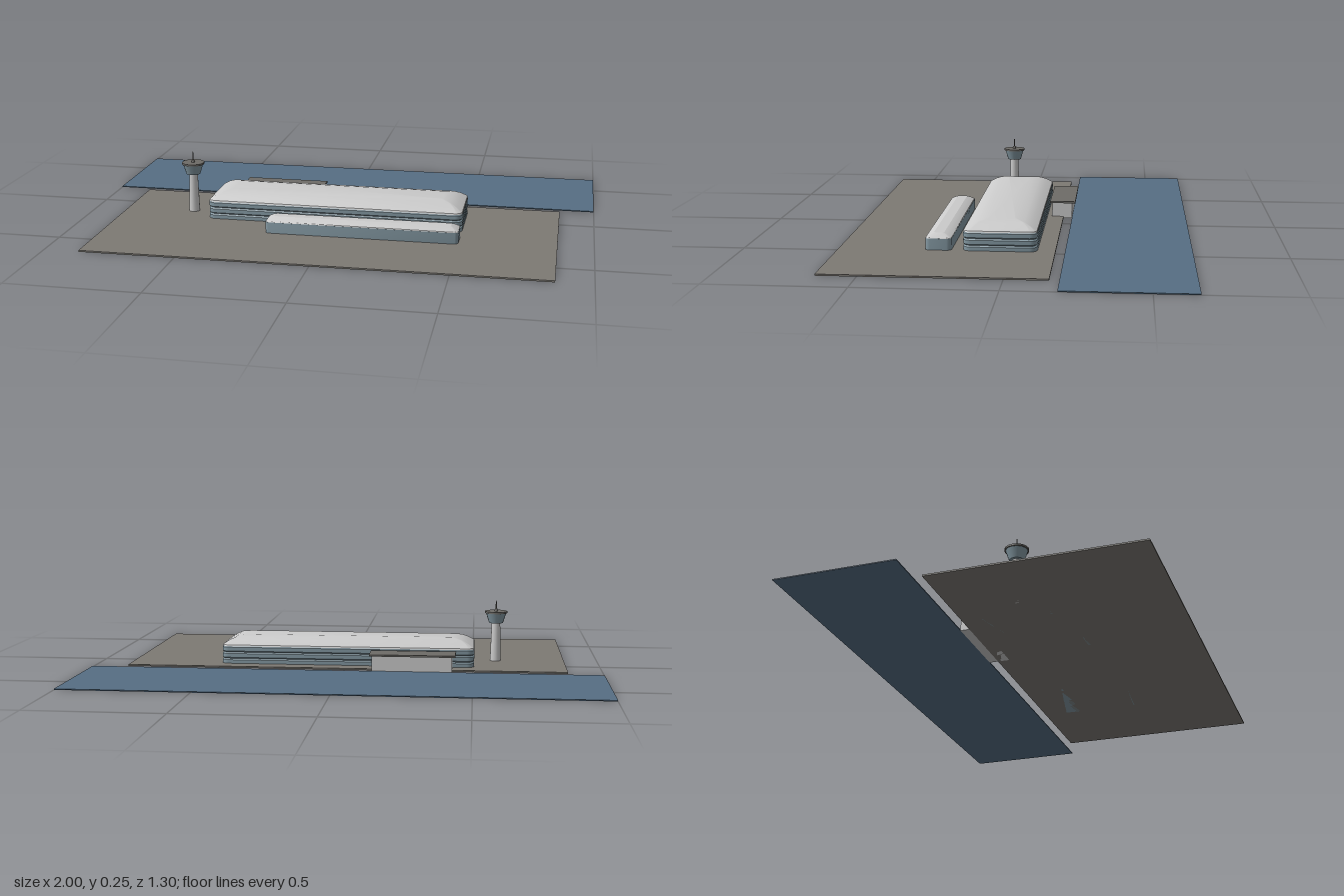
import * as THREE from 'three';
import { toCreasedNormals } from 'three/addons/utils/BufferGeometryUtils.js';

const paint = (color) => new THREE.MeshStandardMaterial({ color });
const grey = paint(0xcccccc);
const glass = paint(0x8499a3);
const paving = paint(0x7d7a74);
const water = paint(0x566e84);
const dark = paint(0x6e6c68);

function add(parent, name, geometry, material, x = 0, y = 0, z = 0) {
  const mesh = new THREE.Mesh(geometry, material);
  mesh.name = name;
  mesh.position.set(x, y, z);
  parent.add(mesh);
  return mesh;
}

// Box given by its extents
function slab(parent, name, material, [x0, x1], [y0, y1], [z0, z1]) {
  return add(parent, name, new THREE.BoxGeometry(x1 - x0, y1 - y0, z1 - z0), material,
    (x0 + x1) / 2, (y0 + y1) / 2, (z0 + z1) / 2);
}

// Stack of rounded rectangles; each level is [inset, y]
function loftRounded(width, depth, radius, levels, crease) {
  const steps = 5, count = 4 * (steps + 1);
  const positions = [], index = [];
  for (const [inset, y] of levels) {
    const r = Math.max(radius - inset * 0.5, 0.008);
    const w = width / 2 - inset - r, d = depth / 2 - inset - r;
    for (let q = 0; q < 4; q++) {
      const sx = q === 0 || q === 3 ? 1 : -1, sz = q < 2 ? -1 : 1;
      for (let s = 0; s <= steps; s++) {
        const a = (q + s / steps) * Math.PI / 2;
        positions.push(sx * w + r * Math.cos(a), y, sz * d - r * Math.sin(a));
      }
    }
  }
  const last = levels.length - 1, base = levels.length * count;
  positions.push(0, levels[0][1], 0, 0, levels[last][1], 0);
  for (let j = 0; j < count; j++) {
    const k = (j + 1) % count;
    for (let i = 0; i < last; i++) {
      const a = i * count + j, b = i * count + k;
      index.push(a, b, b + count, a, b + count, a + count);
    }
    index.push(base, k, j, base + 1, last * count + j, last * count + k);
  }
  const geometry = new THREE.BufferGeometry();
  geometry.setAttribute('position', new THREE.Float32BufferAttribute(positions, 3));
  geometry.setIndex(index);
  return toCreasedNormals(geometry, crease);
}

// Glazed storeys with bevelled edges under a low vaulted roof
function hall(name, width, depth, radius, storeys, wallTop, roofLevels, x, z) {
  const group = new THREE.Group();
  group.name = name;
  group.position.set(x, 0, z);
  const h = wallTop / storeys;
  for (let i = 0; i < storeys; i++) {
    const y0 = i * h, y1 = y0 + h, bevel = 0.005;
    const levels = storeys > 1
      ? [[bevel, y0], [0, y0 + bevel], [0, y1 - bevel], [bevel, y1]]
      : [[0, y0], [0, y1]];
    add(group, 'glazedStorey', loftRounded(width, depth, radius, levels, 0.5), glass);
  }
  add(group, 'vaultedRoof', loftRounded(width, depth, radius, roofLevels, 0.3), grey);
  return group;
}

function controlTower() {
  const tower = new THREE.Group();
  tower.name = 'controlTower';
  tower.position.set(-0.59, 0, 0.09);
  const drum = (name, top, bottom, y0, y1, material) => add(tower, name,
    new THREE.CylinderGeometry(top, bottom, y1 - y0, 16), material, 0, (y0 + y1) / 2, 0);
  drum('shaft', 0.017, 0.022, 0, 0.162, grey);
  drum('cab', 0.041, 0.028, 0.16, 0.201, glass);
  drum('cabRoof', 0.045, 0.045, 0.2, 0.207, dark);
  drum('mastBase', 0.004, 0.007, 0.207, 0.218, dark);
  drum('mast', 0.0015, 0.003, 0.215, 0.25, dark);
  return tower;
}

export function createModel() {
  const model = new THREE.Group();
  model.name = 'airportTerminal';

  // Ground
  slab(model, 'apron', paving, [-0.865, 0.865], [0, 0.006], [-0.155, 0.645]);
  slab(model, 'water', water, [-1, 1], [0, 0.004], [-0.655, -0.19]);

  // Main hall and front pier
  model.add(hall('mainHall', 1.006, 0.274, 0.028, 3, 0.076,
    [[0, 0.075], [0.002, 0.08], [0.025, 0.094], [0.05, 0.105], [0.085, 0.112]], -0.002, 0.048));
  model.add(hall('pier', 0.74, 0.098, 0.018, 1, 0.049,
    [[0, 0.048], [0.002, 0.052], [0.016, 0.06], [0.03, 0.066]], 0.13, 0.275));

  // Rear block with an overhanging flat roof
  slab(model, 'rearBlock', grey, [-0.42, -0.11], [0, 0.063], [-0.19, -0.108]);
  slab(model, 'rearRoof', dark, [-0.433, -0.1], [0.063, 0.07], [-0.203, -0.1]);

  model.add(controlTower());
  return model;
}
